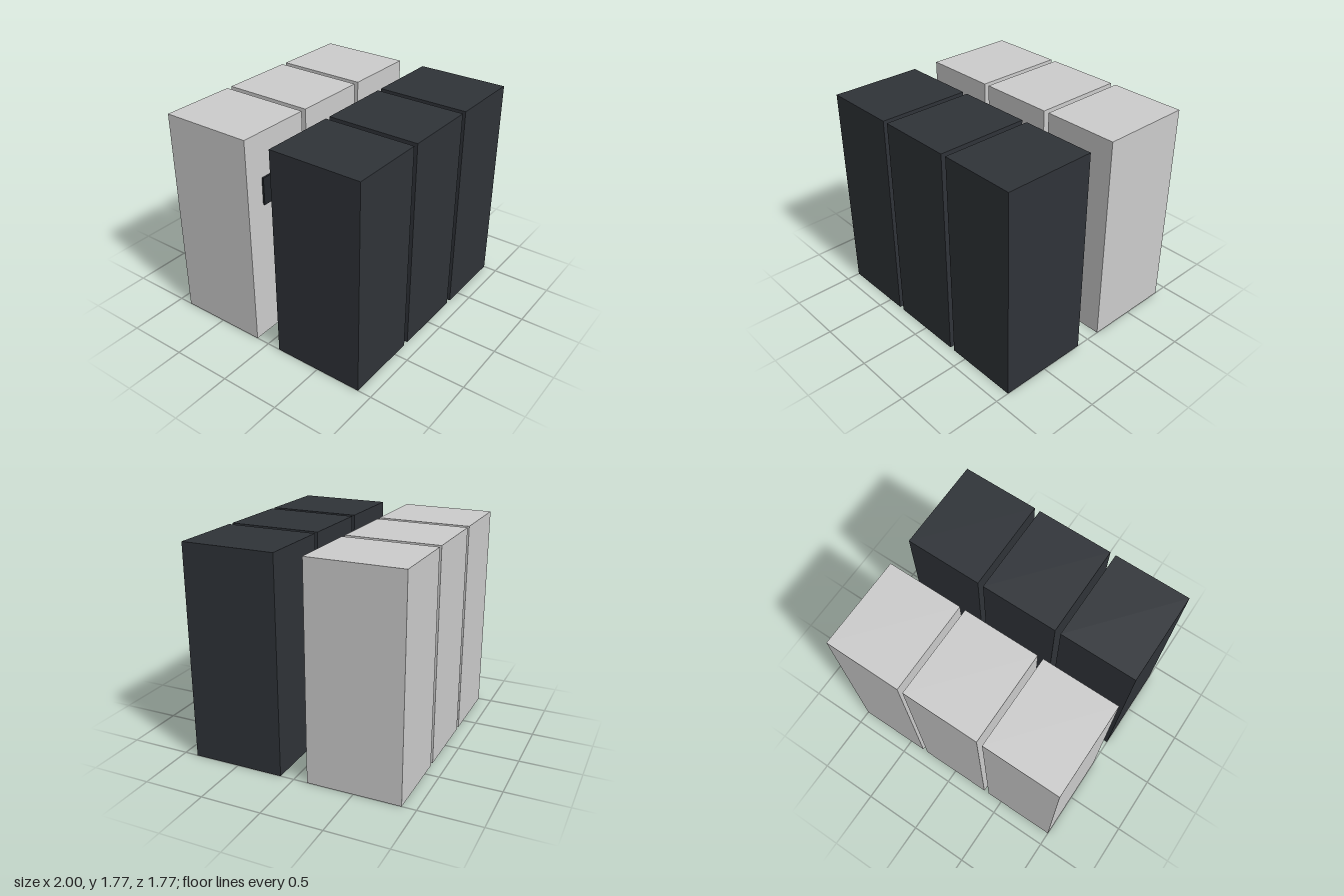
import * as THREE from 'three';

const W = 0.636, H = 1.775, D = 0.77;   // one cabinet
const PITCH = 0.682, ROW_Z = 0.5;       // spacing along a row, row distance from centre

export function createModel() {
  const model = new THREE.Group();
  model.name = 'cabinetRows';
  const dark = new THREE.MeshStandardMaterial({ color: 0x2f3338 });
  const light = new THREE.MeshStandardMaterial({ color: 0xc5c5c2 });
  const screenDark = new THREE.MeshStandardMaterial({ color: 0x22262b });
  const lampGrey = new THREE.MeshStandardMaterial({ color: 0x8c8c8c });

  const add = (name, geometry, material, x, y, z) => {
    const mesh = new THREE.Mesh(geometry, material);
    mesh.name = name;
    mesh.position.set(x, y, z);
    model.add(mesh);
    return mesh;
  };

  // Two rows of three cabinets with an aisle between them
  const cabinet = new THREE.BoxGeometry(W, H, D);
  for (const i of [-1, 0, 1]) {
    add('frontCabinet', cabinet, dark, i * PITCH, H / 2, ROW_Z);
    add('backCabinet', cabinet, light, i * PITCH, H / 2, -ROW_Z);
  }

  // Display panel and indicator lamp on the aisle side of the right back cabinet
  const face = -ROW_Z + D / 2;
  add('displayPanel', new THREE.BoxGeometry(0.318, 0.228, 0.016), screenDark, -PITCH, 1.297, face + 0.008);
  const lamp = add('indicatorLamp', new THREE.CylinderGeometry(0.009, 0.009, 0.01, 16), lampGrey, -PITCH, 1.502, face + 0.005);
  lamp.rotation.x = Math.PI / 2;

  return model;
}
